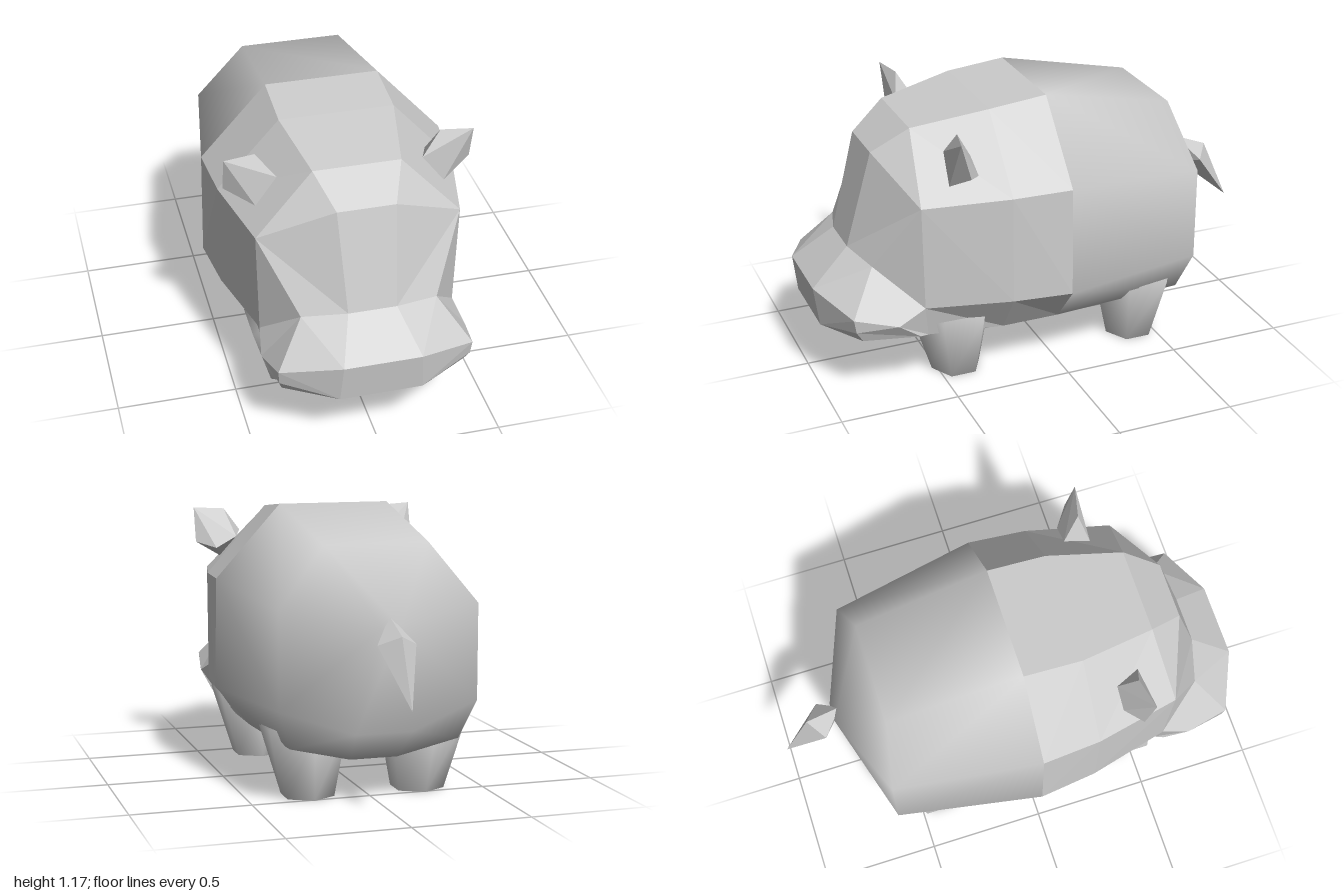
import * as THREE from 'three';
import { mergeVertices } from 'three/addons/utils/BufferGeometryUtils.js';
import { ConvexGeometry } from 'three/addons/geometries/ConvexGeometry.js';

const flat = new THREE.MeshStandardMaterial({ color: 0xcccccc, flatShading: true, side: THREE.DoubleSide });
const smooth = new THREE.MeshStandardMaterial({ color: 0xcccccc, side: THREE.DoubleSide });

// Skins half cross-sections (top to belly, +x side), mirrored into closed rings, from back to front
function loft(halves) {
  const rings = halves.map(h => [...h, ...h.map(([x, y, z]) => [-x, y, z]).reverse()]
    .map(p => new THREE.Vector3(...p)));
  const n = rings[0].length;
  const pos = [];
  const tri = (a, b, c) => {
    const area = b.clone().sub(a).cross(c.clone().sub(a)).length();
    if (area > 1e-6) for (const p of [a, b, c]) pos.push(p.x, p.y, p.z);
  };
  for (let i = 0; i < rings.length - 1; i++) {
    for (let j = 0; j < n; j++) {
      const k = (j + 1) % n;
      const a = rings[i][j], b = rings[i][k], c = rings[i + 1][j], d = rings[i + 1][k];
      if (j < n / 2) { tri(a, c, b); tri(b, c, d); }
      else { tri(a, c, d); tri(a, d, b); }
    }
  }
  const geo = new THREE.BufferGeometry();
  geo.setAttribute('position', new THREE.Float32BufferAttribute(pos, 3));
  geo.computeVertexNormals();
  return geo;
}

// Shares vertices so that normals run smoothly over the whole surface
function soften(geo) {
  geo.deleteAttribute('normal');
  geo.deleteAttribute('uv');
  const merged = mergeVertices(geo, 1e-4);
  merged.computeVertexNormals();
  return merged;
}

// Tapered six-sided leg, from the foot up into the body
function legGeometry(footZ, topZ) {
  const geo = new THREE.CylinderGeometry(1, 1, 1, 6, 1);
  const p = geo.attributes.position;
  for (let i = 0; i < p.count; i++) {
    const t = p.getY(i) + 0.5;
    const mix = (a, b) => a + (b - a) * t;
    p.setXYZ(i,
      mix(0.24, 0.26) + p.getX(i) * mix(0.115, 0.19),
      mix(0, 0.3),
      mix(footZ, topZ) + p.getZ(i) * mix(0.108, 0.18));
  }
  return soften(geo);
}

export function createModel() {
  const model = new THREE.Group();
  const add = (name, geo, mat) => {
    const mesh = new THREE.Mesh(geo, mat);
    mesh.name = name;
    model.add(mesh);
    return mesh;
  };

  const middle = [[0.24, 1.17, 0], [0.52, 0.86, 0], [0.53, 0.395, 0], [0.38, 0.22, 0], [0.12, 0.15, 0]];
  const neckSide = [[0.42, 0.84, 0.61], [0.41, 0.39, 0.6], [0.38, 0.25, 0.58], [0.11, 0.18, 0.55]];

  // Faceted shoulders, face and broad snout
  const lip = [0.17, 0.275, 0.98];
  add('headAndShoulders', loft([
    middle,
    [[0.24, 1.145, 0.25], [0.5, 0.855, 0.25], [0.5, 0.395, 0.25], [0.38, 0.22, 0.25], [0.12, 0.16, 0.25]],
    [[0.18, 1.09, 0.57], ...neckSide],
    [[0.12, 0.985, 0.72], ...neckSide],
    [[0.1, 0.575, 0.83], [0.28, 0.555, 0.78], [0.43, 0.34, 0.72], [0.4, 0.26, 0.62], [0.11, 0.18, 0.6]],
    [[0.16, 0.44, 1], [0.4, 0.39, 0.9], [0.395, 0.33, 0.89], [0.38, 0.28, 0.86], [0.12, 0.185, 0.75]],
    [lip, lip, lip, lip, lip],
  ]), flat);

  // Rounded rump
  const rear = [0.04, 0.74, -0.765], seat = [0.12, 0.3, -0.68];
  add('hindBody', soften(loft([
    [rear, rear, rear, rear, rear],
    [rear, rear, rear, seat, seat],
    [[0.22, 1.05, -0.57], [0.42, 0.8, -0.62], [0.42, 0.4, -0.62], [0.36, 0.235, -0.57], [0.1, 0.17, -0.55]],
    middle,
  ])), smooth);

  // Legs and ears in mirrored pairs
  const ear = [
    [0.3, 1.02, 0.47], [0.39, 0.905, 0.48], [0.51, 0.975, 0.43], [0.51, 1.125, 0.47],
    [0.38, 1.12, 0.44], [0.34, 1.0, 0.37], [0.43, 0.95, 0.37],
  ];
  for (const [side, s] of [['left', 1], ['right', -1]]) {
    for (const [name, footZ, topZ] of [['FrontLeg', 0.415, 0.44], ['HindLeg', -0.405, -0.405]]) {
      const geo = legGeometry(footZ, topZ);
      if (s < 0) geo.rotateY(Math.PI).translate(0, 0, 0).scale(1, 1, 1);
      const leg = add(side + name, s > 0 ? geo : legGeometry(-footZ, -topZ).rotateY(Math.PI), smooth);
      leg.castShadow = false;
    }
    add(side + 'Ear', new ConvexGeometry(ear.map(([x, y, z]) => new THREE.Vector3(s * x, y, z))), flat);
  }

  // Pointed tail
  add('tail', new ConvexGeometry([
    [0, 0.78, -0.73], [0, 0.72, -0.88], [0.08, 0.68, -0.82], [-0.08, 0.68, -0.82],
    [0, 0.65, -0.76], [0, 0.45, -1],
  ].map(p => new THREE.Vector3(...p))), flat);

  return model;
}
